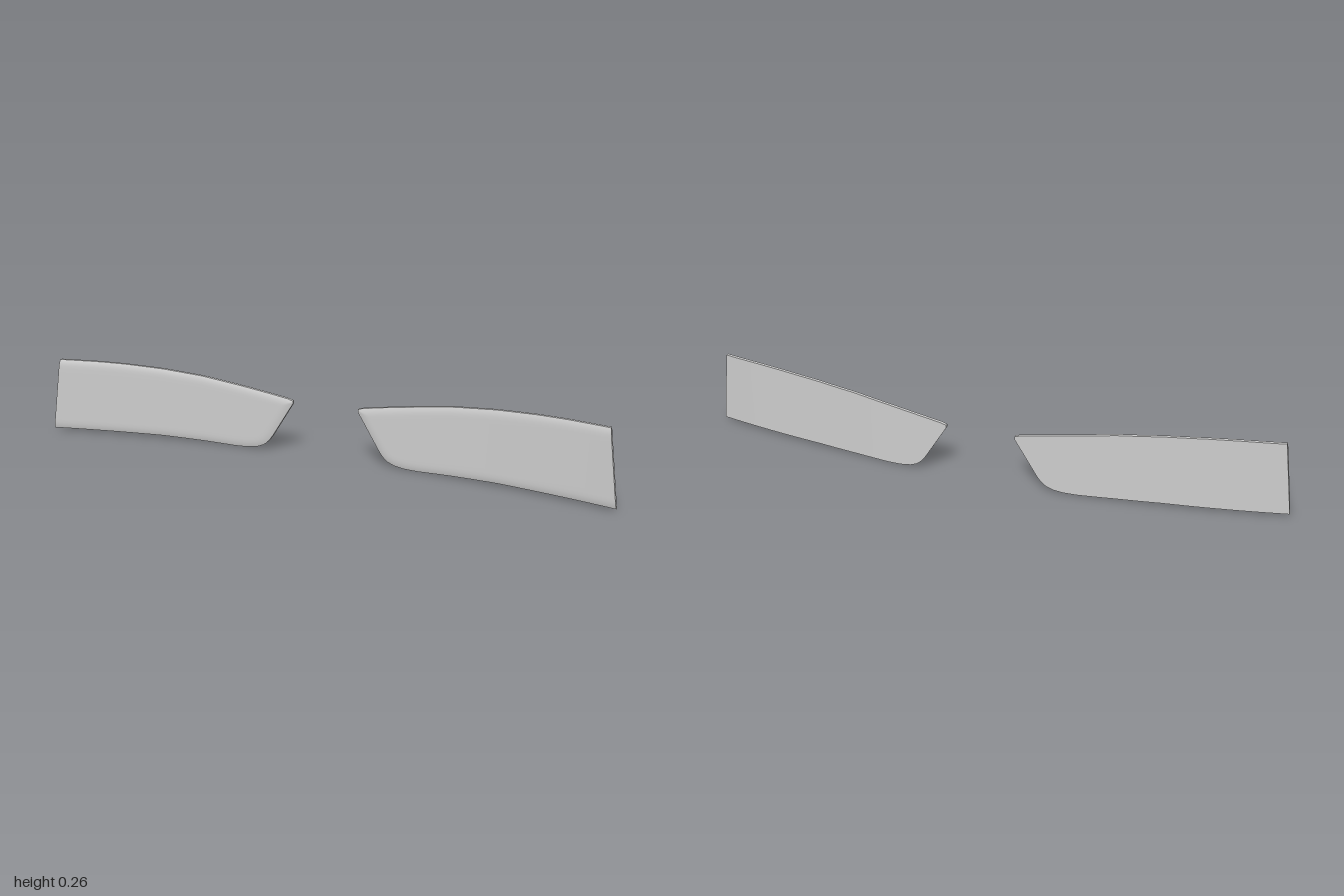
import * as THREE from 'three';

// Panel outline as [x, y] points, inner tip to outer end
const TOP = [[0.117, 0.183], [0.135, 0.189], [0.2, 0.2], [0.3, 0.216], [0.45, 0.238], [0.6, 0.251], [0.75, 0.258], [0.85, 0.26], [1, 0.26]];
const BOTTOM = [[0.117, 0.174], [0.13, 0.153], [0.195, 0.047], [0.21, 0.028], [0.225, 0.016], [0.25, 0.006], [0.285, 0.001], [0.33, 0], [0.45, 0.005], [0.6, 0.009], [1, 0.008]];
const THICKNESS = 0.016, SOFT = 0.028, DROP = 0.005;

// Height of an outline at x
function heightAt(line, x) {
  for (let i = 1; i < line.length; i++) {
    const [x0, y0] = line[i - 1], [x1, y1] = line[i];
    if (x <= x1) return y0 + (y1 - y0) * (x - x0) / (x1 - x0);
  }
  return line[line.length - 1][1];
}

// Distance from a point to an outline
function distanceTo(line, x, y) {
  let best = Infinity;
  for (let i = 1; i < line.length; i++) {
    const [x0, y0] = line[i - 1], [x1, y1] = line[i];
    const dx = x1 - x0, dy = y1 - y0;
    const t = THREE.MathUtils.clamp(((x - x0) * dx + (y - y0) * dy) / (dx * dx + dy * dy), 0, 1);
    best = Math.min(best, Math.hypot(x - x0 - t * dx, y - y0 - t * dy));
  }
  return best;
}

// Point of the panel: u along its length, v up, w from back (0) to front (1)
function panelPoint(u, v, w) {
  const flat = 0.117 + 0.883 * Math.pow(u, 1.5);
  const low = heightAt(BOTTOM, flat), high = heightAt(TOP, flat);
  const y = low + (high - low) * v;
  // front face eases down towards the long edges and the inner tip
  const d = Math.min(distanceTo(TOP, flat, y), distanceTo(BOTTOM, flat, y), flat - 0.117);
  const k = 1 - Math.min(d / SOFT, 1);
  const depth = THICKNESS - DROP * k * k;
  // outer end leans inwards at the top
  const x = flat - 0.034 * (y / 0.26) * THREE.MathUtils.clamp((flat - 0.5) / 0.5, 0, 1);
  const z = -0.061 + 0.106 * Math.pow(x, 2.1) + depth * w;
  return [x, y, z];
}

// Smooth grid surface, mirrored for the other side
function surface(nu, nv, point, side) {
  const positions = [], index = [];
  for (let j = 0; j <= nv; j++) {
    for (let i = 0; i <= nu; i++) {
      const [x, y, z] = point(i / nu, j / nv);
      positions.push(x * side, y, z);
    }
  }
  for (let j = 0; j < nv; j++) {
    for (let i = 0; i < nu; i++) {
      const a = j * (nu + 1) + i, b = a + 1, c = b + nu + 1, d = a + nu + 1;
      if (side > 0) index.push(a, b, c, a, c, d);
      else index.push(a, c, b, a, d, c);
    }
  }
  const geometry = new THREE.BufferGeometry();
  geometry.setAttribute('position', new THREE.Float32BufferAttribute(positions, 3));
  geometry.setIndex(index);
  geometry.computeVertexNormals();
  return geometry;
}

export function createModel() {
  const model = new THREE.Group();
  model.name = 'curvedPanels';
  const material = new THREE.MeshStandardMaterial({ color: 0xcccccc });
  const ease = (v) => v + 0.12 * Math.sin(-2 * Math.PI * v); // closer rows at the edges

  // Faces of one panel: name, columns, rows, point rule
  const faces = [
    ['frontFace', 64, 20, (u, v) => panelPoint(u, ease(v), 1)],
    ['backFace', 64, 6, (u, v) => panelPoint(1 - u, v, 0)],
    ['topEdge', 64, 1, (u, w) => panelPoint(u, 1, 1 - w)],
    ['bottomEdge', 64, 1, (u, w) => panelPoint(u, 0, w)],
    ['outerEnd', 20, 1, (v, w) => panelPoint(1, ease(v), w)],
    ['innerTip', 20, 1, (v, w) => panelPoint(0, ease(v), 1 - w)],
  ];

  for (const side of [1, -1]) {
    const panel = new THREE.Group();
    panel.name = side > 0 ? 'leftPanel' : 'rightPanel';
    for (const [name, nu, nv, rule] of faces) {
      const mesh = new THREE.Mesh(surface(nu, nv, rule, side), material);
      mesh.name = name;
      panel.add(mesh);
    }
    model.add(panel);
  }
  return model;
}
